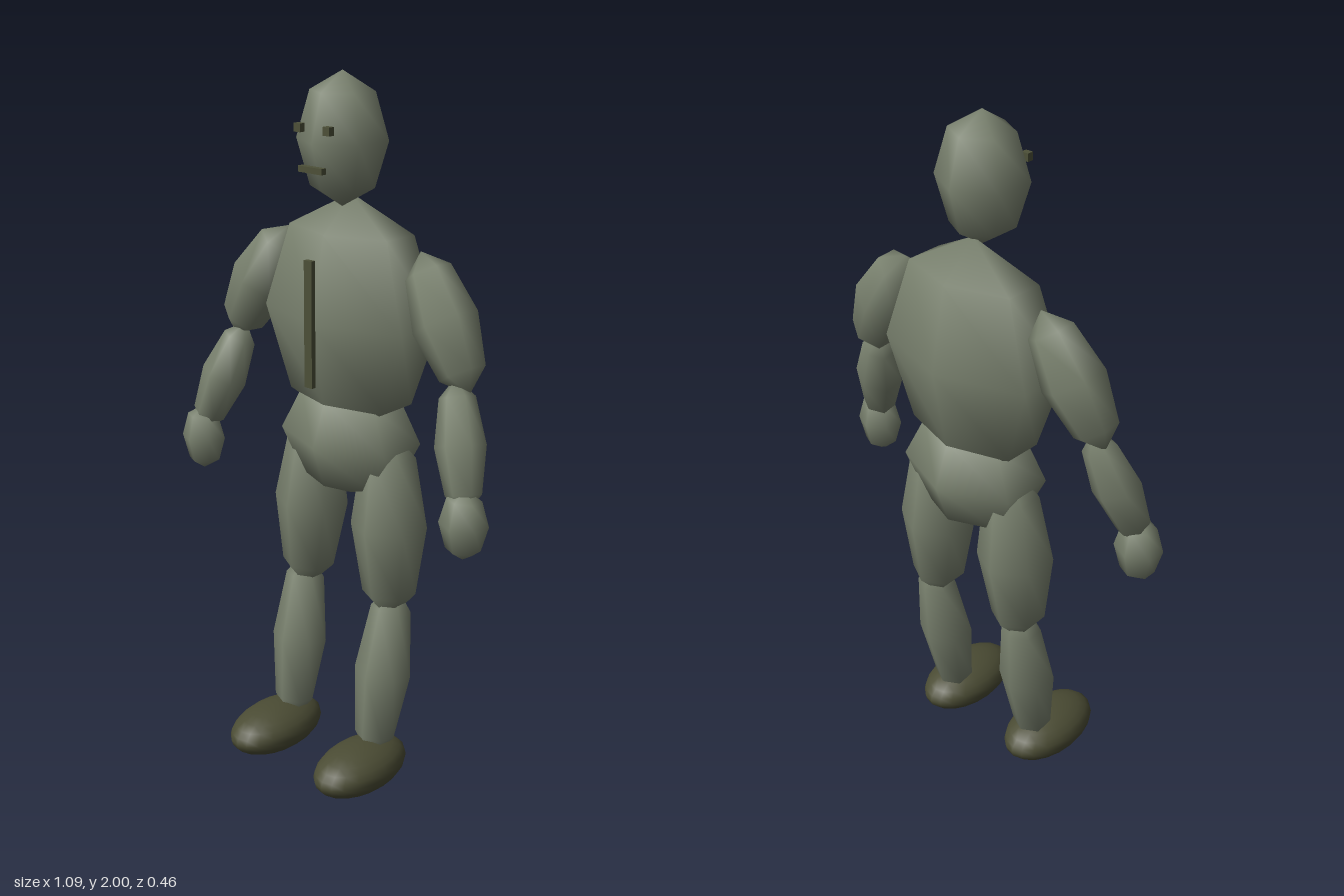
import * as THREE from 'three';

export function createModel() {
  const model = new THREE.Group();
  const mat = (name, color) => Object.assign(new THREE.MeshStandardMaterial({ color }), { name });
  const skin = mat('grey green body', 0x7a826f);
  const dark = mat('dark olive feet', 0x4b4c34);
  const trim = mat('olive details', 0x4d5038);

  // Six-sided, four-row ball with corners facing front and back
  const facet = new THREE.SphereGeometry(1, 6, 4).rotateY(Math.PI / 2);
  const round = new THREE.SphereGeometry(1, 20, 12);
  const up = new THREE.Vector3(0, 1, 0);

  function blob(name, center, radii, axis = [0, 1, 0], geometry = facet, material = skin) {
    const m = new THREE.Mesh(geometry, material);
    m.name = name;
    m.position.set(...center);
    m.scale.set(...radii);
    m.quaternion.setFromUnitVectors(up, new THREE.Vector3(...axis).normalize());
    model.add(m);
  }
  function box(name, center, size) {
    const m = new THREE.Mesh(new THREE.BoxGeometry(...size), trim);
    m.name = name;
    m.position.set(...center);
    model.add(m);
  }

  // Head and trunk
  blob('head', [0, 1.825, -0.04], [0.126, 0.175, 0.117]);
  blob('torso', [0, 1.35, -0.075], [0.283, 0.33, 0.155]);
  blob('pelvis', [0, 1.0, -0.075], [0.22, 0.172, 0.152]);

  // Arms and legs, mirrored
  for (const [side, s] of [['left', 1], ['right', -1]]) {
    const part = (name, c, r, a, g, m) =>
      blob(side + name, [c[0] * s, c[1], c[2]], r, a && [a[0] * s, a[1], a[2]], g, m);
    part('UpperArm', [0.33, 1.39, -0.068], [0.094, 0.195, 0.082], [-0.095, 0.165, -0.015]);
    part('Forearm', [0.435, 1.095, -0.01], [0.071, 0.178, 0.062], [-0.05, 0.155, -0.04]);
    part('Hand', [0.485, 0.905, 0.032], [0.069, 0.098, 0.058]);
    part('Thigh', [0.147, 0.77, -0.073], [0.11, 0.285, 0.103], [-0.012, 0.28, -0.008]);
    part('Shin', [0.163, 0.33, -0.035], [0.084, 0.275, 0.074], [0.004, 0.27, -0.042]);
    part('Foot', [0.168, 0.07, 0.064], [0.1, 0.068, 0.166], undefined, round, dark);
    box(side + 'Eye', [0.05 * s, 1.862, 0.069], [0.022, 0.022, 0.018]);
  }

  // Mouth and chest strip
  box('mouth', [0, 1.76, 0.076], [0.082, 0.016, 0.016]);
  box('chestStrip', [0, 1.353, 0.087], [0.027, 0.347, 0.014]);
  return model;
}
